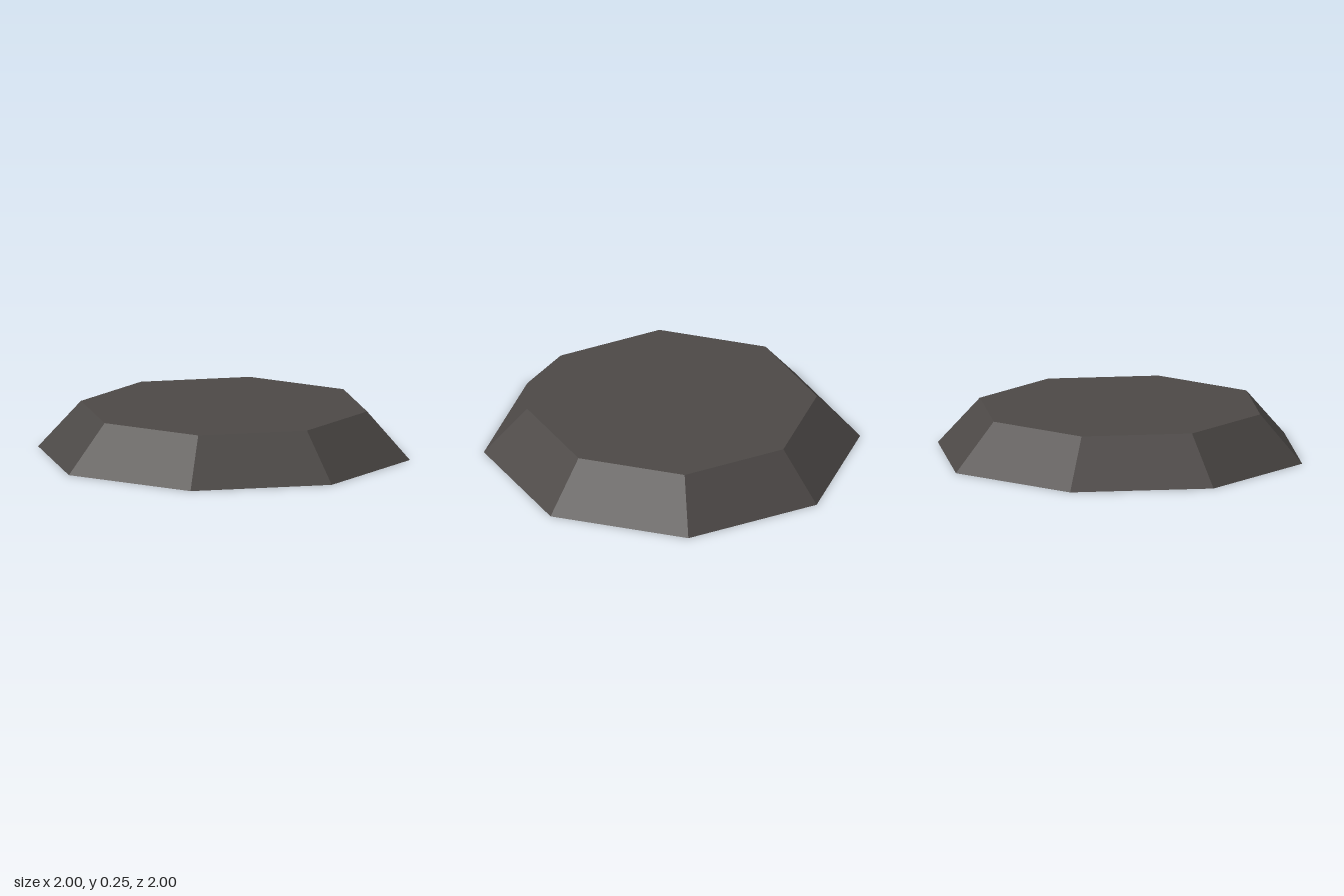
import * as THREE from 'three';

const SIDES = 8;
const TOP_RADIUS = 0.77;
const BASE_RADIUS = 1;
const HEIGHT = 0.254;

export function createModel() {
  const group = new THREE.Group();
  group.name = 'octagonalSlab';

  const stone = new THREE.MeshStandardMaterial({
    color: 0x4c4846, flatShading: true, side: THREE.DoubleSide,
  });
  stone.name = 'dark stone';

  // Sloping walls, open underneath
  const walls = new THREE.Mesh(
    new THREE.CylinderGeometry(TOP_RADIUS, BASE_RADIUS, HEIGHT, SIDES, 1, true), stone);
  walls.name = 'slopingWalls';
  walls.position.y = HEIGHT / 2;
  group.add(walls);

  // Flat top, its corners meeting the walls
  const top = new THREE.Mesh(new THREE.CircleGeometry(TOP_RADIUS, SIDES), stone);
  top.name = 'flatTop';
  top.rotation.x = -Math.PI / 2;
  top.position.y = HEIGHT;
  group.add(top);

  return group;
}
